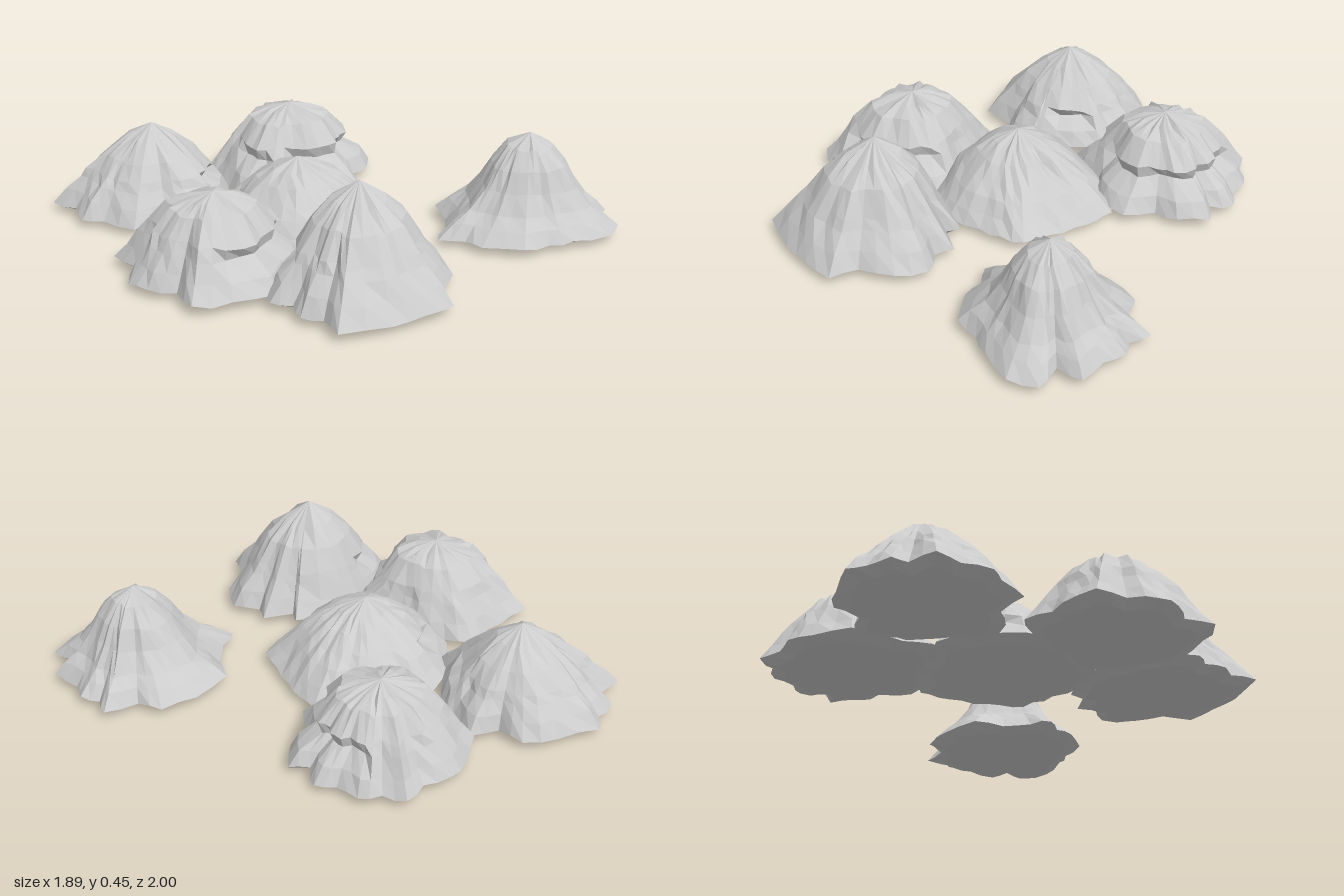
import * as THREE from 'three';

const material = new THREE.MeshStandardMaterial({ color: 0xcccccc, flatShading: true });

// Small repeatable random source, one stream per mountain
function seeded(seed) {
  let s = seed * 7919 + 17;
  return () => ((s = (s * 16807) % 2147483647) / 2147483647) * 2 - 1;
}

// Foot outline -> twice as many columns, with bulging in-between points
function makeColumns(apex, outline, rand) {
  const columns = [];
  outline.forEach(([x, z], i) => {
    const [nx, nz] = outline[(i + 1) % outline.length];
    const k = 1.02 + 0.02 * rand();
    columns.push([x - apex[0], z - apex[2]]);
    columns.push([((x + nx) / 2 - apex[0]) * k, ((z + nz) / 2 - apex[2]) * k]);
  });
  return columns;
}

// profile: [share of foot radius, share of height] from the top to the foot
// ledges: [direction, half width] in radians, 0 = +x, PI/2 = +z
function makeMountain(name, seed, apex, profile, ledges, outline) {
  const rand = seeded(seed);
  const columns = makeColumns(apex, outline, rand);
  const n = columns.length;
  const mean = columns.reduce((sum, [x, z]) => sum + Math.hypot(x, z), 0) / n;
  const gully = columns.map(() => rand());
  const positions = [];
  const ringPoint = (x, y, z) => positions.push(apex[0] + x, y, apex[2] + z);

  // Summit
  columns.forEach(() => ringPoint(0, apex[1], 0));

  // Slopes: rounder near the top, following the foot outline lower down
  profile.forEach(([t, h], k) => {
    const last = k === profile.length - 1;
    columns.forEach(([x, z], j) => {
      const r = Math.hypot(x, z);
      const angle = Math.atan2(z, x);
      let rr = t * THREE.MathUtils.lerp(mean, r, t);
      let y = apex[1] * h;
      if (last) {
        y = 0.034 + 0.007 * rand();
      } else {
        rr *= 1 + (1 - t) * 0.09 * gully[j] + 0.025 * rand();
        y *= 1 + 0.03 * rand();
      }
      // Overhang and the hollow below it
      const onLedge = ledges.some(([dir, half]) =>
        Math.abs(Math.atan2(Math.sin(angle - dir), Math.cos(angle - dir))) < half);
      if (onLedge && k === 2) { rr *= 1.04; y *= 0.96; }
      if (onLedge && k === 3) { rr *= 0.87; y *= 0.96; }
      ringPoint((x / r) * rr, y, (z / r) * rr);
    });
  });

  // Underside rising gently towards the foot edge
  columns.forEach(([x, z]) => ringPoint(x * 0.82, 0.012, z * 0.82));
  columns.forEach(() => ringPoint(0, 0, 0));

  const index = [];
  const rings = profile.length + 3;
  for (let k = 0; k < rings - 1; k++) {
    for (let j = 0; j < n; j++) {
      const a = k * n + j, b = k * n + (j + 1) % n;
      if (k > 0) index.push(a, b, a + n);
      if (k < rings - 2) index.push(b, b + n, a + n);
    }
  }
  const indexed = new THREE.BufferGeometry();
  indexed.setAttribute('position', new THREE.Float32BufferAttribute(positions, 3));
  indexed.setIndex(index);
  const geometry = indexed.toNonIndexed();
  geometry.computeVertexNormals();
  const mesh = new THREE.Mesh(geometry, material);
  mesh.name = name;
  return mesh;
}

// Slope shapes
const sharp = [[0.26, 0.87], [0.43, 0.69], [0.55, 0.5], [0.71, 0.31], [0.86, 0.21], [1, 0.1]];
const steep = [[0.3, 0.83], [0.51, 0.68], [0.67, 0.47], [0.74, 0.38], [0.88, 0.23], [1, 0.1]];
const broad = [[0.28, 0.84], [0.52, 0.66], [0.68, 0.49], [0.75, 0.4], [0.88, 0.26], [1, 0.1]];
const domed = [[0.28, 0.87], [0.46, 0.74], [0.64, 0.56], [0.75, 0.44], [0.88, 0.26], [1, 0.1]];
const blunt = [[0.26, 0.93], [0.48, 0.84], [0.67, 0.61], [0.75, 0.48], [0.88, 0.28], [1, 0.1]];

export function createModel() {
  const group = new THREE.Group();
  group.name = 'mountainRange';

  group.add(
    makeMountain('backRightMountain', 1, [-0.33, 0.365, -0.61], broad, [[0.9, 0.4]], [
      [-0.36, -1], [-0.2, -0.92], [-0.08, -0.84], [-0.08, -0.72], [0.03, -0.66], [-0.02, -0.53],
      [-0.04, -0.46], [-0.12, -0.38], [-0.25, -0.29], [-0.26, -0.23], [-0.4, -0.27], [-0.47, -0.36],
      [-0.62, -0.38], [-0.66, -0.53], [-0.71, -0.61], [-0.66, -0.72], [-0.68, -0.85],
      [-0.54, -0.86], [-0.53, -0.93], [-0.42, -0.95]]),

    makeMountain('backLeftMountain', 2, [0.31, 0.34, -0.45], blunt, [[0.9, 1.5], [3, 0.4]], [
      [0.28, -0.79], [0.39, -0.75], [0.5, -0.77], [0.54, -0.68], [0.61, -0.62], [0.62, -0.52],
      [0.67, -0.45], [0.61, -0.37], [0.66, -0.3], [0.56, -0.21], [0.46, -0.2], [0.38, -0.09],
      [0.24, -0.11], [0.13, -0.22], [0, -0.25], [-0.07, -0.35], [-0.03, -0.47], [0.02, -0.62],
      [0.02, -0.68], [0.16, -0.76]]),

    makeMountain('centreMountain', 3, [-0.09, 0.32, 0.02], domed, [[-2.3, 0.3]], [
      [-0.1, -0.36], [0, -0.3], [0.16, -0.24], [0.22, -0.16], [0.32, -0.09], [0.31, 0], [0.28, 0.1],
      [0.24, 0.21], [0.2, 0.32], [0.1, 0.35], [0, 0.36], [-0.15, 0.38], [-0.29, 0.33], [-0.38, 0.2],
      [-0.44, 0.02], [-0.4, -0.16], [-0.27, -0.28]]),

    makeMountain('rightMountain', 4, [-0.61, 0.34, 0.1], blunt, [[1.3, 0.8]], [
      [-0.84, -0.23], [-0.74, -0.23], [-0.6, -0.22], [-0.47, -0.24], [-0.41, -0.14], [-0.35, -0.02],
      [-0.34, 0.08], [-0.28, 0.22], [-0.34, 0.32], [-0.47, 0.38], [-0.62, 0.47], [-0.79, 0.41],
      [-0.92, 0.33], [-0.88, 0.2], [-0.94, 0.1], [-0.95, 0], [-0.85, -0.08]]),

    makeMountain('frontRightMountain', 5, [-0.33, 0.45, 0.6], steep, [[-2.5, 0.35]], [
      [-0.26, 0.29], [-0.06, 0.41], [-0.09, 0.46], [0.02, 0.53], [-0.02, 0.6], [0.04, 0.7],
      [-0.03, 0.81], [-0.17, 0.87], [-0.22, 0.98], [-0.36, 0.97], [-0.5, 0.94], [-0.69, 0.85],
      [-0.65, 0.74], [-0.69, 0.66], [-0.65, 0.58], [-0.69, 0.5], [-0.61, 0.4], [-0.45, 0.34]]),

    makeMountain('frontLeftMountain', 6, [0.61, 0.41, 0.65], sharp, [], [
      [0.43, 0.31], [0.61, 0.29], [0.76, 0.33], [0.8, 0.43], [0.94, 0.47], [0.9, 0.55], [0.94, 0.62],
      [0.9, 0.7], [0.91, 0.83], [0.8, 0.84], [0.82, 0.96], [0.7, 1], [0.55, 0.94], [0.46, 0.89],
      [0.34, 0.86], [0.25, 0.72], [0.25, 0.63], [0.19, 0.54], [0.28, 0.5], [0.37, 0.42]]),
  );
  return group;
}
